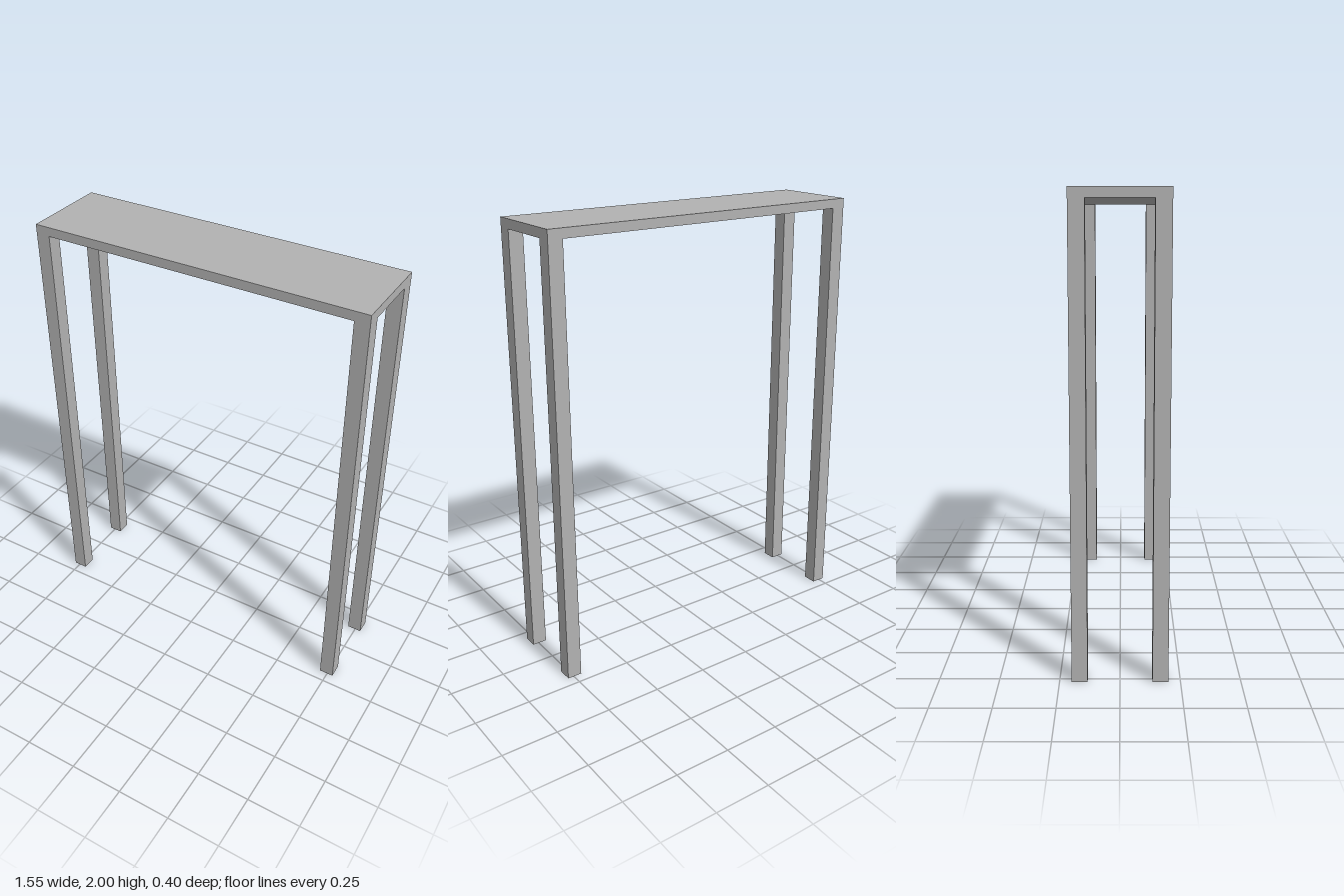
import * as THREE from 'three';

const WIDTH = 1.555, DEPTH = 0.4, HEIGHT = 2;
const TOP = 0.042, LEG = 0.066;

export function createModel() {
  const model = new THREE.Group();
  model.name = 'consoleTable';
  const grey = new THREE.MeshStandardMaterial({ color: 0xb2b2b2 });
  grey.name = 'grey';

  // Thin slab across the whole footprint
  const tableTop = new THREE.Mesh(new THREE.BoxGeometry(WIDTH, TOP, DEPTH), grey);
  tableTop.name = 'tableTop';
  tableTop.position.y = HEIGHT - TOP / 2;
  model.add(tableTop);

  // Four square legs, flush with the corners
  const legHeight = HEIGHT - TOP;
  const legGeometry = new THREE.BoxGeometry(LEG, legHeight, LEG);
  for (const [sideX, xName] of [[1, 'Left'], [-1, 'Right']]) {
    for (const [sideZ, zName] of [[1, 'front'], [-1, 'back']]) {
      const leg = new THREE.Mesh(legGeometry, grey);
      leg.name = `${zName}${xName}Leg`;
      leg.position.set(sideX * (WIDTH - LEG) / 2, legHeight / 2, sideZ * (DEPTH - LEG) / 2);
      model.add(leg);
    }
  }
  return model;
}
